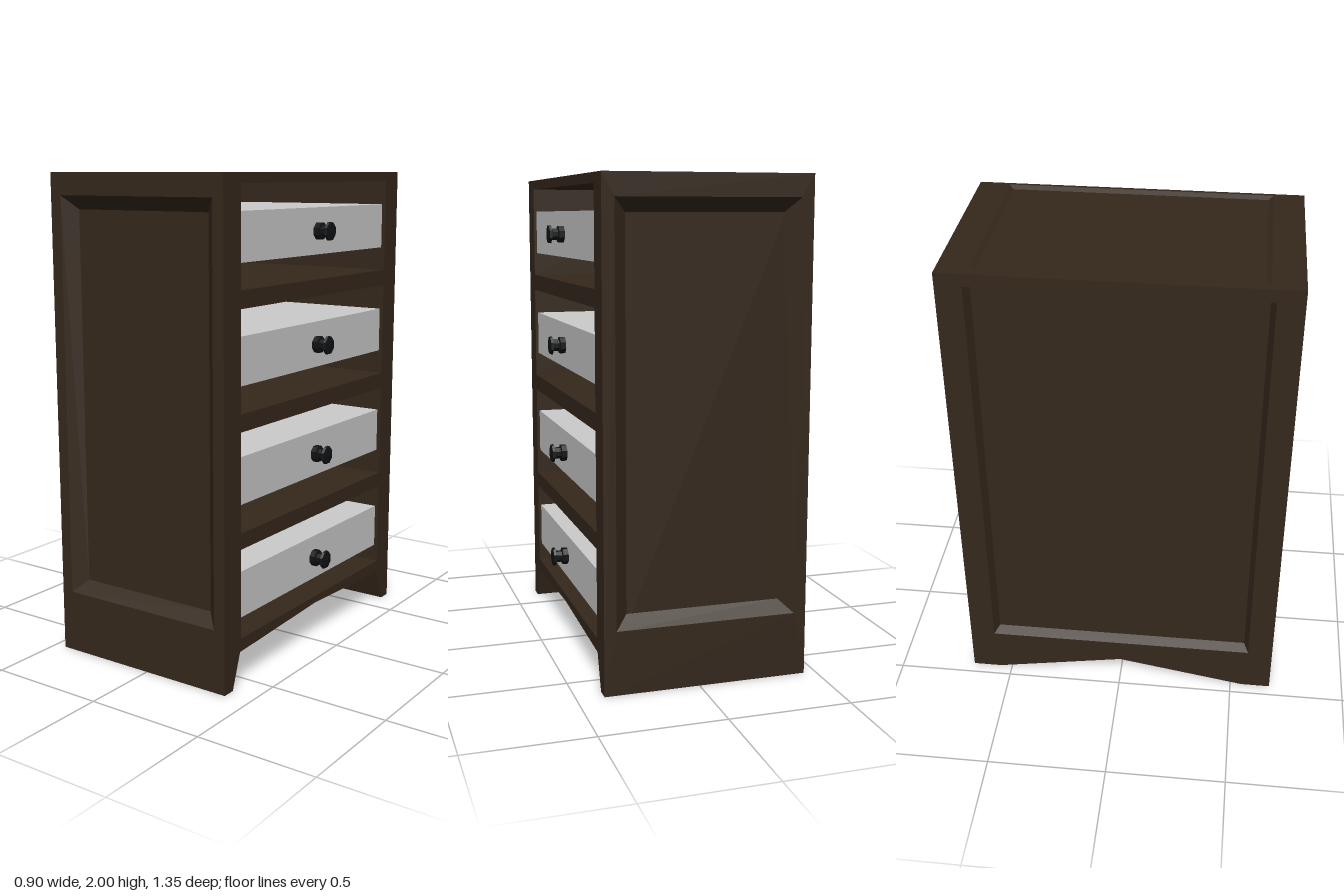
import * as THREE from 'three';

const wood = new THREE.MeshStandardMaterial({ color: 0x35281c, side: THREE.DoubleSide, flatShading: true });
const black = new THREE.MeshStandardMaterial({ color: 0x101214, flatShading: true });
const grey = new THREE.MeshStandardMaterial({ color: 0xcccccc, flatShading: true });

// rectangle corners, counter-clockwise
const rect = (w, y0, y1) => [[-w / 2, y0], [w / 2, y0], [w / 2, y1], [-w / 2, y1]];
const toVectors = pts => pts.map(p => new THREE.Vector2(p[0], p[1]));

function add(parent, name, geometry, material, x = 0, y = 0, z = 0) {
  const mesh = new THREE.Mesh(geometry, material);
  mesh.name = name;
  mesh.position.set(x, y, z);
  parent.add(mesh);
  return mesh;
}

// frame with a sunken, bevelled panel; its face lies at z = 0 and looks to +z
function framedPanel(name, outline, outer, inner, depth) {
  const group = new THREE.Group();
  group.name = name;
  const shape = new THREE.Shape(toVectors(outline));
  shape.holes.push(new THREE.Path(toVectors(outer)));
  add(group, name + 'Frame', new THREE.ExtrudeGeometry(shape, { depth, bevelEnabled: false }), wood, 0, 0, -depth);

  const positions = [];
  const quad = (a, b, c, d) => positions.push(...a, ...b, ...c, ...a, ...c, ...d);
  const rim = outer.map(p => [...p, 0]);
  const floor = inner.map(p => [...p, -depth]);
  for (let i = 0; i < 4; i++) {
    const j = (i + 1) % 4;
    quad(rim[i], rim[j], floor[j], floor[i]);
  }
  quad(...floor);
  const geometry = new THREE.BufferGeometry();
  geometry.setAttribute('position', new THREE.Float32BufferAttribute(positions, 3));
  geometry.computeVertexNormals();
  add(group, name + 'Sunken', geometry, wood);
  return group;
}

export function createModel() {
  const model = new THREE.Group();
  model.name = 'drawerCabinet';
  const midX = -0.03;

  // carcass: drawer openings run from front to back, feet and arch below
  const body = new THREE.Shape(toVectors([
    [-0.625, 0], [-0.62, 0], [-0.57, 0.145], [0, 0.17], [0.57, 0.145], [0.62, 0],
    [0.625, 0], [0.625, 1.988], [-0.625, 1.988],
  ]));
  for (const [y0, y1] of [[0.2, 0.565], [0.63, 1.03], [1.1, 1.5], [1.57, 1.96]])
    body.holes.push(new THREE.Path(toVectors(rect(1.13, y0, y1))));
  const carcass = new THREE.ExtrudeGeometry(body, { depth: 0.8, bevelEnabled: false });
  carcass.rotateY(Math.PI / 2);
  add(model, 'carcass', carcass, wood, -0.41);

  // side panels
  for (const s of [1, -1]) {
    const side = framedPanel(s > 0 ? 'leftSide' : 'rightSide',
      rect(0.84, 0, 2), rect(0.74, 0.26, 1.91), rect(0.635, 0.31, 1.855), 0.05);
    side.position.set(midX, 0, s * 0.675);
    if (s < 0) side.rotation.y = Math.PI;
    model.add(side);
  }

  // back panel with arched skirt
  const back = framedPanel('back',
    [[-0.675, 0], [-0.55, 0], [0, 0.1], [0.55, 0], [0.675, 0], [0.675, 2], [-0.675, 2]],
    rect(1.14, 0.2, 1.95), rect(1.1, 0.22, 1.93), 0.04);
  back.position.x = -0.45;
  back.rotation.y = -Math.PI / 2;
  model.add(back);

  // top with shallow sunken field
  const top = framedPanel('top', rect(0.84, -0.675, 0.675),
    rect(0.81, -0.55, 0.55), rect(0.77, -0.53, 0.53), 0.012);
  top.position.set(midX, 2, 0);
  top.rotation.x = -Math.PI / 2;
  model.add(top);

  // knob profile, turned around the x axis
  const knob = new THREE.LatheGeometry(toVectors([
    [0, 0], [0.036, 0], [0.036, 0.025], [0.025, 0.028], [0.025, 0.052],
    [0.04, 0.056], [0.038, 0.066], [0, 0.072],
  ]), 8);
  knob.rotateY(Math.PI / 8);
  knob.rotateZ(-Math.PI / 2);

  // drawers with knobs and side runners
  [0.375, 0.835, 1.3, 1.765].forEach((y, i) => {
    const drawer = new THREE.Group();
    drawer.name = 'drawer' + (i + 1);
    drawer.position.y = y;
    add(drawer, 'drawerBox', new THREE.BoxGeometry(0.74, 0.19, 1.106), grey, 0.01);
    add(drawer, 'knob', knob, black, 0.378);
    for (const s of [1, -1])
      add(drawer, 'runner', new THREE.BoxGeometry(0.7, 0.04, 0.016), black, 0, 0, s * 0.558);
    model.add(drawer);
  });
  return model;
}
